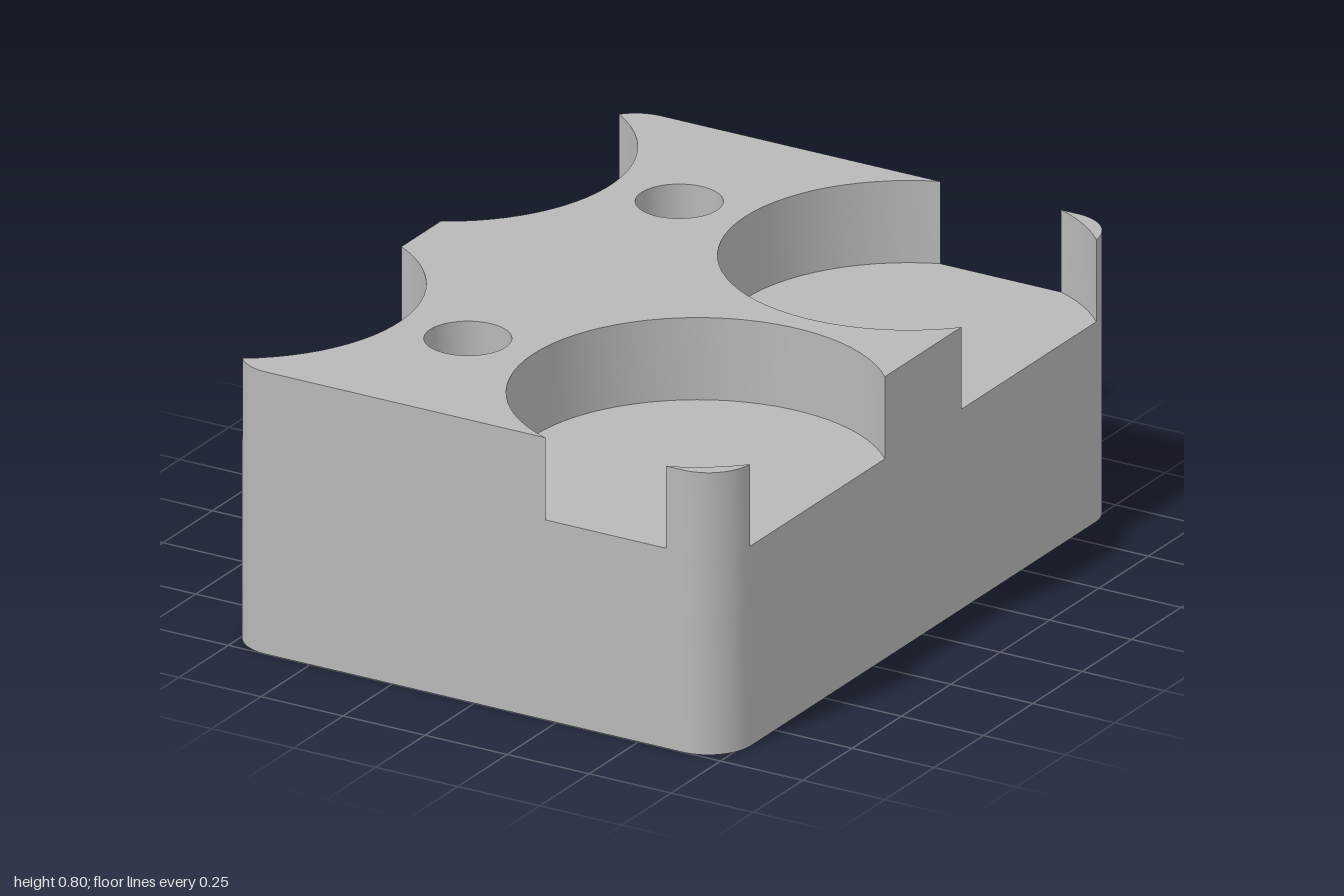
import * as THREE from 'three';
import { toCreasedNormals } from 'three/addons/utils/BufferGeometryUtils.js';

const W = 0.765, L = 1, H = 0.8, R = 0.13;      // half width, half length, height, corner radius
const FLOOR = 0.567, BORE_TOP = 0.4;            // pocket floor and underside bore depth
const POCKET = 0.5, PX = 0.4, LX = -1.01, PZ = 0.535; // pocket radius and centres
const HOLE_X = -0.3, HOLE_R = 0.115, BORE_R = 0.22;
const deg = Math.PI / 180;

// Points on an arc in the (x, z) plane, angles in degrees
function arc(cx, cz, r, a0, a1) {
  const n = Math.max(2, Math.ceil(Math.abs(a1 - a0) / 5));
  return Array.from({ length: n + 1 }, (_, i) => {
    const a = (a0 + (a1 - a0) * i / n) * deg;
    return new THREE.Vector2(cx + r * Math.cos(a), cz + r * Math.sin(a));
  });
}

const mirrorZ = (points) => points.map((p) => new THREE.Vector2(p.x, -p.y)).reverse();

// Upright prism from an outline with round holes [x, z, radius]
function prism(name, outline, y0, y1, holes, material) {
  const shape = new THREE.Shape(outline);
  for (const [x, z, r] of holes) shape.holes.push(new THREE.Path(arc(x, z, r, 0, 355)));
  const geo = new THREE.ExtrudeGeometry(shape, { depth: y1 - y0, bevelEnabled: false });
  geo.rotateX(Math.PI / 2).translate(0, y1, 0);
  const mesh = new THREE.Mesh(toCreasedNormals(geo, 0.4), material);
  mesh.name = name;
  return mesh;
}

export function createModel() {
  const group = new THREE.Group();
  group.name = 'pocketedBlock';
  const grey = new THREE.MeshStandardMaterial({ color: 0xb8b8b8 });
  grey.name = 'grey';

  // Rounded rectangular footprint
  const footprint = [
    ...arc(W - R, L - R, R, 0, 90), ...arc(R - W, L - R, R, 90, 180),
    ...arc(R - W, R - L, R, 180, 270), ...arc(W - R, R - L, R, 270, 360),
  ];
  const through = (r) => [[HOLE_X, PZ, r], [HOLE_X, -PZ, r]];

  // Lower body with three wide bores, then the solid layer under the pockets
  group.add(prism('lowerBody', footprint, 0, BORE_TOP, [...through(BORE_R), [0.3, 0, BORE_R]], grey));
  group.add(prism('middleBody', footprint, BORE_TOP, FLOOR, through(HOLE_R), grey));

  // Angles where the pocket circles leave the footprint
  const sideA = Math.acos((W - PX) / POCKET) / deg;
  const endA = Math.asin((L - PZ) / POCKET) / deg;
  const leftA = Math.acos((-W - LX) / POCKET) / deg;

  // Upper body between the pockets: one half outline, mirrored
  const half = [
    ...arc(PX, PZ, POCKET, -sideA, endA - 360 + 2 * (90 - endA)),
    ...arc(R - W, L - R, R, 90, 140),
    ...arc(LX, PZ, POCKET, 56.7, -leftA),
  ];
  group.add(prism('upperBody', [...half, ...mirrorZ(half)], FLOOR, H, through(HOLE_R), grey));

  // Corner posts left standing outside the large pockets
  const post = [...arc(PX, PZ, POCKET, endA, sideA), ...arc(W - R, L - R, R, 3.5, 90)];
  group.add(prism('frontCornerPost', post, FLOOR, H, [], grey));
  group.add(prism('backCornerPost', mirrorZ(post), FLOOR, H, [], grey));
  return group;
}
